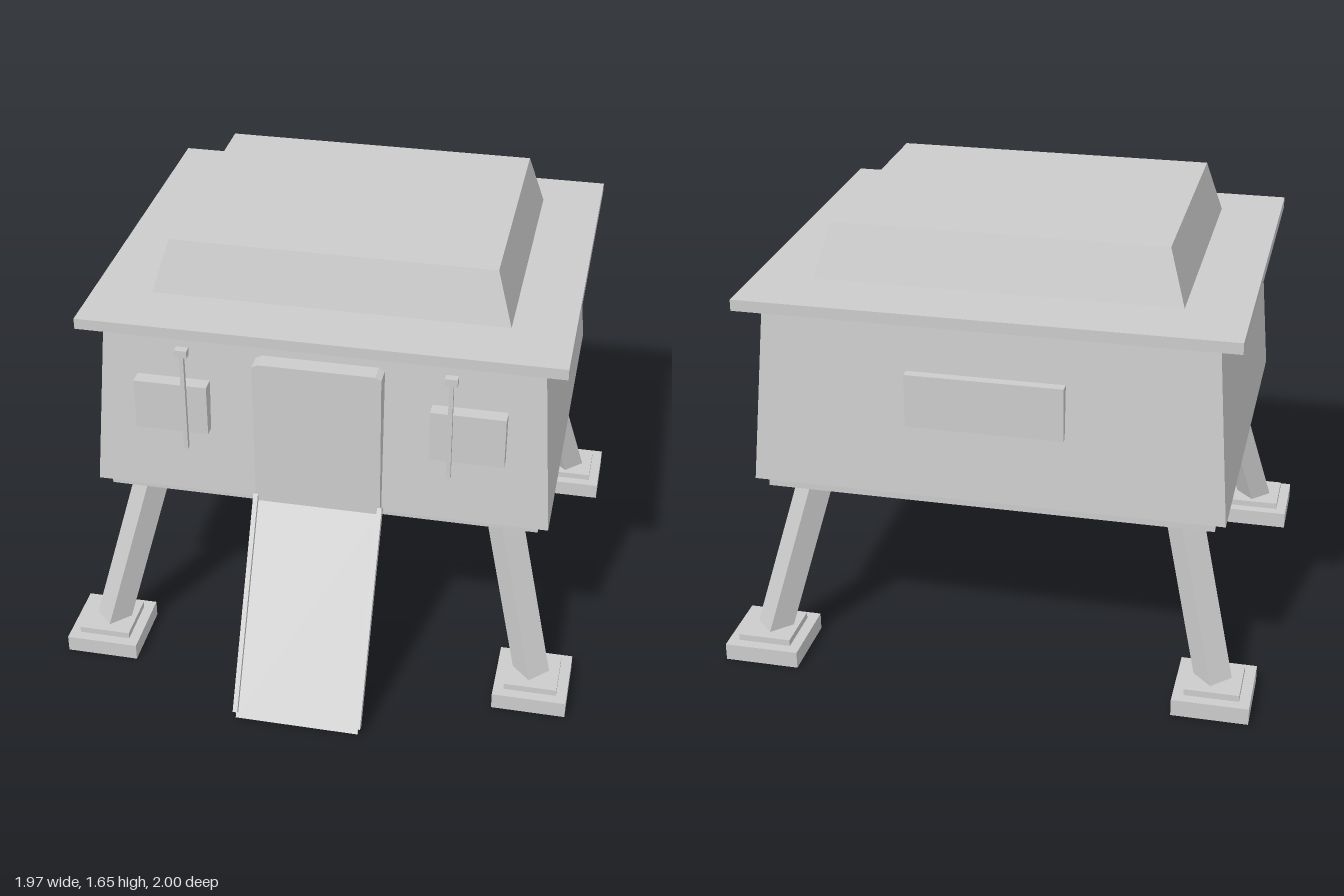
import * as THREE from 'three';

const hull = new THREE.MeshStandardMaterial({ color: 0xcccccc, side: THREE.DoubleSide });
hull.name = 'hull grey';

function add(parent, name, geometry, x = 0, y = 0, z = 0) {
  const mesh = new THREE.Mesh(geometry, hull);
  mesh.name = name;
  mesh.position.set(x, y, z);
  parent.add(mesh);
  return mesh;
}

const box = (w, h, d) => new THREE.BoxGeometry(w, h, d);

// Box whose upper end is narrower or shifted
function taperedBox(w, h, d, topW, topD) {
  const g = box(w, h, d).toNonIndexed();
  const p = g.attributes.position;
  for (let i = 0; i < p.count; i++) {
    if (p.getY(i) > 0) p.setXYZ(i, p.getX(i) * topW / w, p.getY(i), p.getZ(i) * topD / d);
  }
  g.computeVertexNormals();
  return g;
}

// Square strut turned 45 degrees and leaning by dx, dz over its height
function strut(side, h, dx, dz) {
  const g = box(side, h, side).rotateY(Math.PI / 4).toNonIndexed();
  const p = g.attributes.position;
  for (let i = 0; i < p.count; i++) {
    const t = p.getY(i) / h;
    p.setXYZ(i, p.getX(i) + dx * t, p.getY(i), p.getZ(i) + dz * t);
  }
  g.computeVertexNormals();
  return g;
}

// Box without its underside
function openBox(w, h, d) {
  const g = box(w, h, d);
  const index = Array.from(g.index.array);
  index.splice(18, 6);
  g.setIndex(index);
  g.clearGroups();
  return g;
}

export function createModel() {
  const model = new THREE.Group();
  model.name = 'landedCabin';

  // Cabin, floor and stepped roof
  add(model, 'cabin', taperedBox(1.72, 0.67, 1.445, 1.62, 1.345), 0, 1.065, -0.168);
  add(model, 'floorPlate', box(1.64, 0.036, 1.38), 0, 0.708, -0.17);
  add(model, 'roofSlab', box(1.785, 0.042, 1.51), 0, 1.422, -0.17);
  add(model, 'roofCap', taperedBox(1.33, 0.2, 1.06, 1.21, 0.96), 0, 1.555, -0.17);

  // Door with clipped upper corners
  const doorShape = new THREE.Shape();
  doorShape.moveTo(-0.237, 0.73);
  doorShape.lineTo(0.237, 0.73);
  doorShape.lineTo(0.237, 1.315);
  doorShape.lineTo(0.215, 1.327);
  doorShape.lineTo(-0.215, 1.327);
  doorShape.lineTo(-0.237, 1.315);
  doorShape.closePath();
  add(model, 'door', new THREE.ExtrudeGeometry(doorShape, { depth: 0.07, bevelEnabled: false }), 0, 0, 0.513);

  // Ramp with side rails
  const tilt = -0.512;
  add(model, 'ramp', box(0.47, 0.84, 0.012), 0, 0.37, 0.78).rotation.x = tilt;
  for (const s of [-1, 1]) {
    add(model, 'rampRail', box(0.018, 0.835, 0.03), s * 0.236, 0.393, 0.778).rotation.x = tilt;

    // Front windows and lamp masts
    add(model, 'frontWindow', box(0.275, 0.2, 0.06), s * 0.55, 1.1, 0.545);
    add(model, 'mast', box(0.016, 0.4, 0.018), s * 0.49, 1.15, 0.6);
    add(model, 'mastCap', box(0.046, 0.03, 0.03), s * 0.49, 1.357, 0.6);
  }
  add(model, 'backWindow', box(0.57, 0.2, 0.06), 0, 1.1, -0.862);

  // Four leaning legs on hollow feet
  for (const sx of [-1, 1]) {
    for (const sz of [-1, 1]) {
      const leg = new THREE.Group();
      leg.name = 'leg';
      leg.position.set(sx * 0.845, 0, sz * 0.7275 - 0.1325);
      model.add(leg);
      add(leg, 'foot', openBox(0.28, 0.065, 0.28), 0, 0.0325, 0);
      add(leg, 'footStep', box(0.2, 0.025, 0.2), 0, 0.0775, 0);
      add(leg, 'strut', strut(0.099, 0.67, -sx * 0.168, -sz * 0.168), -sx * 0.085, 0.393, -sz * 0.085);
    }
  }

  // Probe hanging below the floor
  const probe = new THREE.Group();
  probe.name = 'probe';
  probe.position.set(0, 0, -0.13);
  model.add(probe);
  add(probe, 'probeStem', box(0.02, 0.04, 0.02), 0, 0.68, 0);
  add(probe, 'probeCollar', box(0.06, 0.018, 0.06), 0, 0.664, 0);
  const cone = (top, bottom, h) => new THREE.CylinderGeometry(top, bottom, h, 8).toNonIndexed();
  const parts = [['probeUpper', 0.018, 0.05, 0.05, 0.63], ['probeBand', 0.05, 0.05, 0.035, 0.588], ['probeTip', 0.042, 0.001, 0.042, 0.55]];
  for (const [name, top, bottom, h, y] of parts) {
    const g = cone(top, bottom, h);
    g.computeVertexNormals();
    add(probe, name, g, 0, y, 0);
  }
  for (let i = 0; i < 4; i++) {
    const a = i * Math.PI / 2;
    add(probe, 'probeNub', box(0.024, 0.035, 0.024), Math.cos(a) * 0.058, 0.588, Math.sin(a) * 0.058);
  }

  return model;
}
